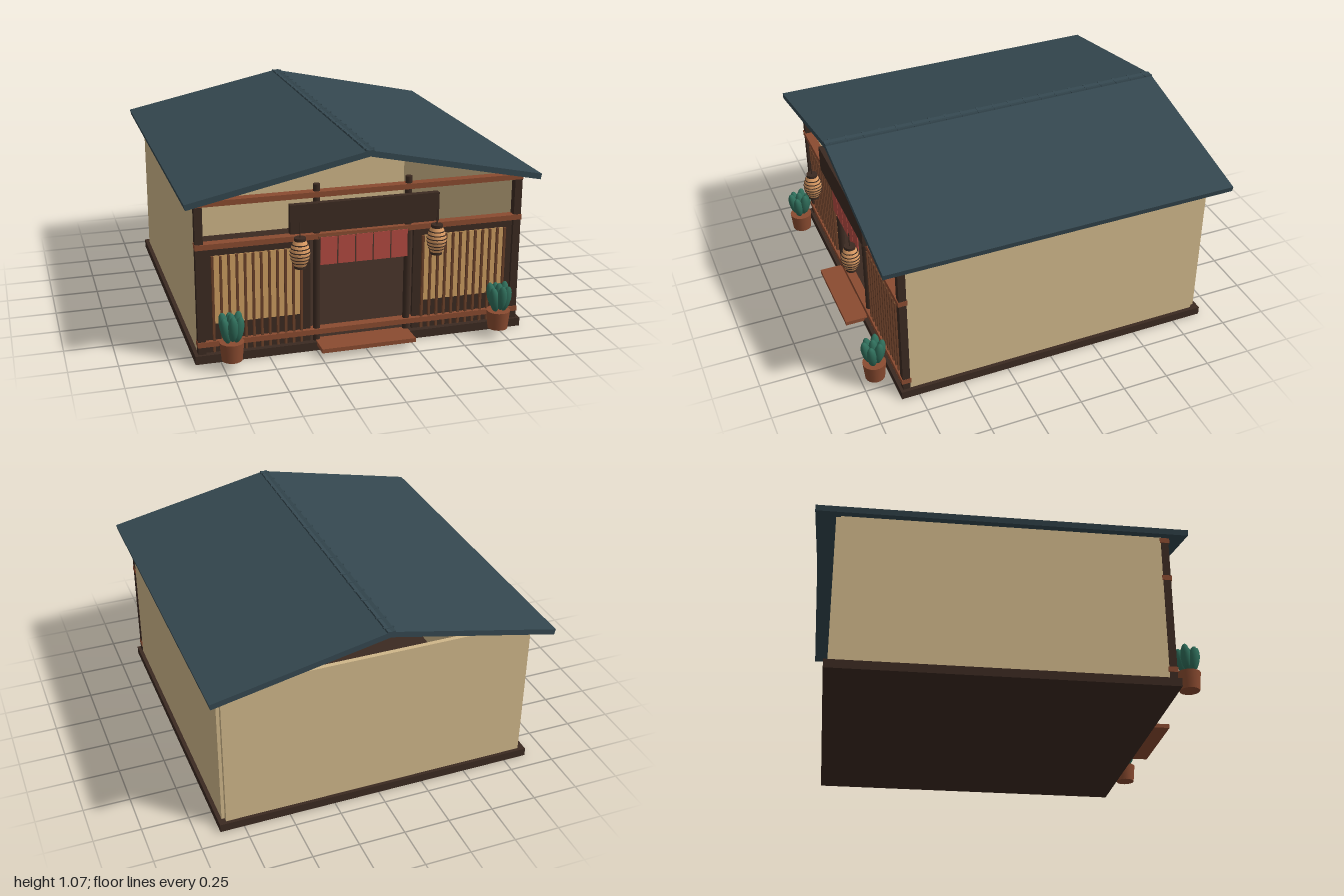
import * as THREE from 'three';

const mat = (name, color) => {
  const m = new THREE.MeshStandardMaterial({ color });
  m.name = name;
  return m;
};

export function createModel() {
  const plaster = mat('plaster', 0xcfb689);
  const darkWood = mat('darkWood', 0x3b2a21);
  const redWood = mat('redWood', 0x8a4b30);
  const slatWood = mat('slatWood', 0x6b4029);
  const tile = mat('roofTile', 0x34474f);
  const paper = mat('screenPaper', 0xcb9c60);
  const cloth = mat('curtainCloth', 0xb34a41);
  const glow = mat('lanternPaper', 0xdc9c64);
  const leaf = mat('leaf', 0x2f6d5a);

  const root = new THREE.Group();
  root.name = 'shopHouse';

  const add = (parent, name, geo, material, x = 0, y = 0, z = 0) => {
    const m = new THREE.Mesh(geo, material);
    m.name = name;
    m.position.set(x, y, z);
    parent.add(m);
    return m;
  };
  // box given by its min and max corners
  const box = (parent, name, material, x0, x1, y0, y1, z0, z1) =>
    add(parent, name, new THREE.BoxGeometry(x1 - x0, y1 - y0, z1 - z0), material,
      (x0 + x1) / 2, (y0 + y1) / 2, (z0 + z1) / 2);
  const group = (name, x = 0, y = 0, z = 0) => {
    const g = new THREE.Group();
    g.name = name;
    g.position.set(x, y, z);
    root.add(g);
    return g;
  };

  // base, entrance step and walls; front and gables stay open
  box(root, 'base', darkWood, -0.878, 0.878, 0, 0.045, -0.914, 0.845);
  box(root, 'entranceStep', redWood, -0.25, 0.25, 0.03, 0.052, 0.8, 0.95);
  box(root, 'backWall', plaster, -0.84, 0.84, 0.045, 0.865, -0.895, -0.87);
  for (const s of [-1, 1]) {
    const w = box(root, 'sideWall', plaster, -0.0125, 0.0125, 0.045, 0.865, -0.87, 0.807);
    w.position.x = s * 0.8445;
  }

  // roof slabs crossing slightly at the ridge
  for (const s of [-1, 1]) {
    const slab = add(root, 'roofSlab', new THREE.BoxGeometry(0.963, 0.03, 1.92), tile, s * 0.448, 0.955, -0.04);
    slab.rotation.z = -s * 0.209;
  }
  const ridge = group('ridgeTiles');
  for (let i = 0; i < 21; i++) {
    for (const s of [-1, 1]) {
      const t = add(ridge, 'ridgeTile', new THREE.BoxGeometry(0.03, 0.006, 0.012), tile, s * 0.013, 1.066, -0.96 + i * 0.0925);
      t.rotation.z = s * 0.2;
    }
  }

  // front timber frame
  for (const y of [0.835, 0.615, 0.098])
    box(root, 'frontBeam', redWood, -0.862, 0.862, y - 0.014, y + 0.014, 0.785, 0.835);
  for (const s of [-1, 1]) {
    const post = box(root, 'cornerPost', darkWood, -0.02, 0.02, 0.045, 0.85, 0.79, 0.83);
    post.position.x = s * 0.84;
    add(root, 'doorPost', new THREE.CylinderGeometry(0.018, 0.018, 0.84, 12), darkWood, s * 0.242, 0.465, 0.81);
  }

  // lattice screens either side of the door
  for (const s of [-1, 1]) {
    const g = group('latticeScreen', s * 0.55);
    box(g, 'screenPanel', darkWood, -0.275, 0.275, 0.045, 0.605, 0.795, 0.812);
    box(g, 'paperPanel', paper, -0.23, 0.23, 0.2, 0.56, 0.811, 0.816);
    for (let i = 0; i < 12; i++) {
      const x = -0.226 + i * 0.0411;
      box(g, 'slat', slatWood, x - 0.006, x + 0.006, 0.05, 0.56, 0.813, 0.828);
    }
  }

  // blank sign board and split curtain
  box(root, 'signBoard', darkWood, -0.39, 0.39, 0.65, 0.8, 0.83, 0.862);
  const rod = add(root, 'curtainRod', new THREE.CylinderGeometry(0.006, 0.006, 0.48, 8), slatWood, 0, 0.612, 0.838);
  rod.rotation.z = Math.PI / 2;
  for (let i = -2; i <= 2; i++) {
    const p = add(root, 'curtainPanel', new THREE.BoxGeometry(0.086, 0.147, 0.006), cloth, i * 0.0935, 0.54, 0.843);
    p.rotation.z = i * 0.006;
  }

  // hanging lanterns
  const bodyRadius = (t) => 0.03 + 0.02 * Math.sin(Math.PI * t);
  const profile = Array.from({ length: 13 }, (_, i) => new THREE.Vector2(bodyRadius(i / 12), -0.065 + 0.13 * i / 12));
  for (const s of [-1, 1]) {
    const g = group('lantern', s * 0.357, 0.573, 0.922);
    add(g, 'lanternBody', new THREE.LatheGeometry(profile, 20), glow);
    for (const y of [-0.07, 0.072])
      add(g, 'lanternCap', new THREE.CylinderGeometry(0.03, 0.03, 0.016, 16), darkWood, 0, y, 0);
    for (let i = 1; i <= 6; i++) {
      const t = i / 7;
      const ring = add(g, 'lanternRib', new THREE.TorusGeometry(bodyRadius(t), 0.0028, 6, 20), darkWood, 0, -0.065 + 0.13 * t, 0);
      ring.rotation.x = Math.PI / 2;
    }
    add(g, 'lanternCord', new THREE.CylinderGeometry(0.003, 0.003, 0.08, 6), darkWood, 0, 0.118, 0);
  }

  // potted plants: a ring of upright oval leaves around a taller middle one
  const leafGeo = new THREE.SphereGeometry(1, 14, 10);
  for (const s of [-1, 1]) {
    const g = group('pottedPlant', s * 0.71, 0, 0.933);
    add(g, 'pot', new THREE.CylinderGeometry(0.062, 0.052, 0.098, 18), redWood, 0, 0.1, 0);
    for (let i = 0; i < 7; i++) {
      const a = i * Math.PI / 3 + Math.PI / 6;
      const r = i < 6 ? 0.037 : 0;
      const l = add(g, 'leaf', leafGeo, leaf, r * Math.cos(a), i < 6 ? 0.215 + 0.012 * (i % 2) : 0.228, r * Math.sin(a));
      l.scale.set(0.026, 0.07, 0.026);
      if (i < 6) l.rotation.set(0.2 * Math.sin(a), 0, -0.2 * Math.cos(a));
    }
  }

  return root;
}
